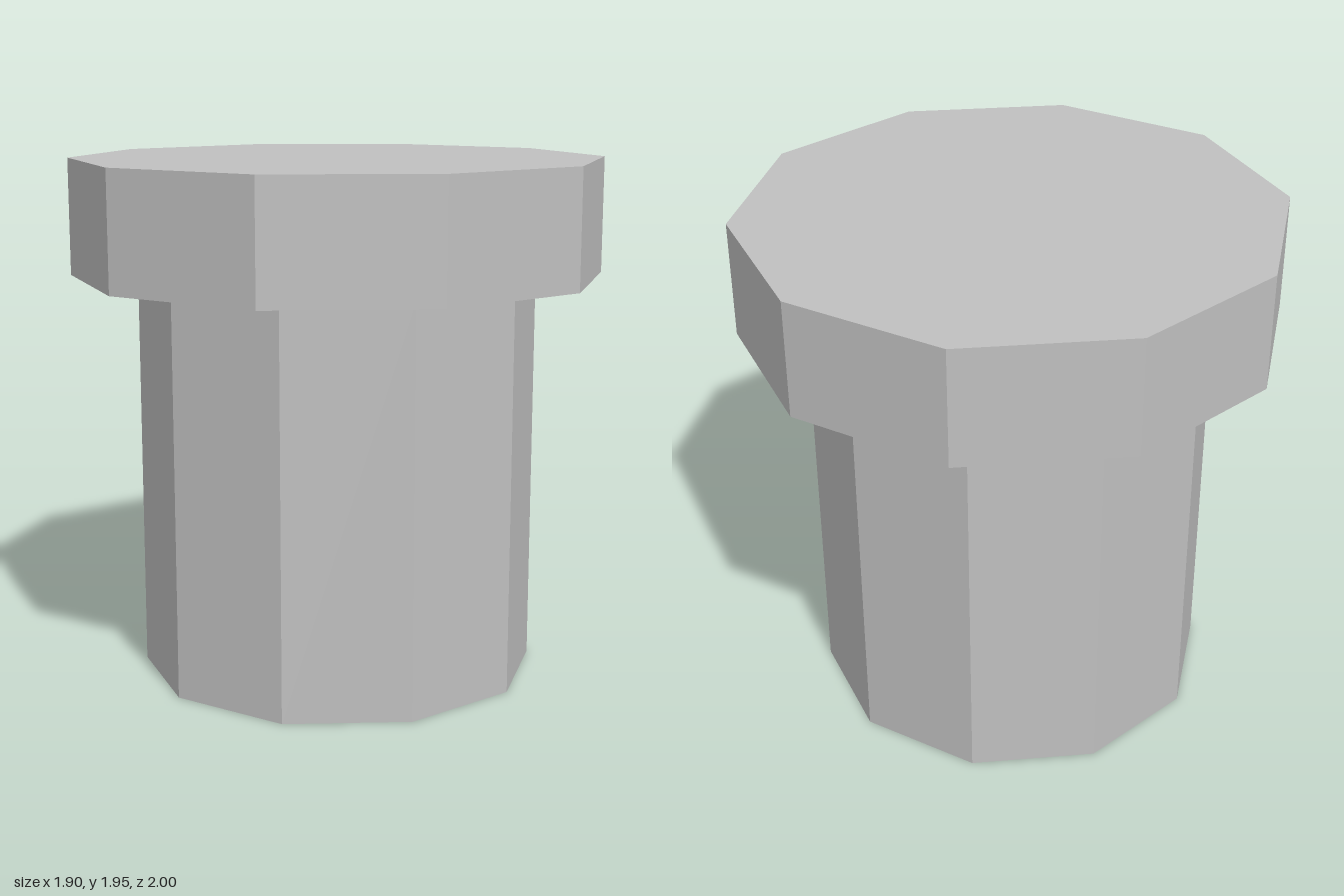
import * as THREE from 'three';

const SIDES = 10;

export function createModel() {
  const group = new THREE.Group();
  group.name = 'flangedPlug';

  const grey = new THREE.MeshStandardMaterial({ color: 0xc0c0c0, flatShading: true });
  grey.name = 'grey';

  // Ten-sided prism standing between two heights
  const addPrism = (name, radius, bottom, top) => {
    const geometry = new THREE.CylinderGeometry(radius, radius, top - bottom, SIDES);
    const mesh = new THREE.Mesh(geometry, grey);
    mesh.name = name;
    mesh.position.y = (bottom + top) / 2;
    group.add(mesh);
  };

  addPrism('shaft', 0.75, 0, 1.51); // narrow body
  addPrism('head', 1, 1.51, 1.945); // wide cap

  return group;
}
